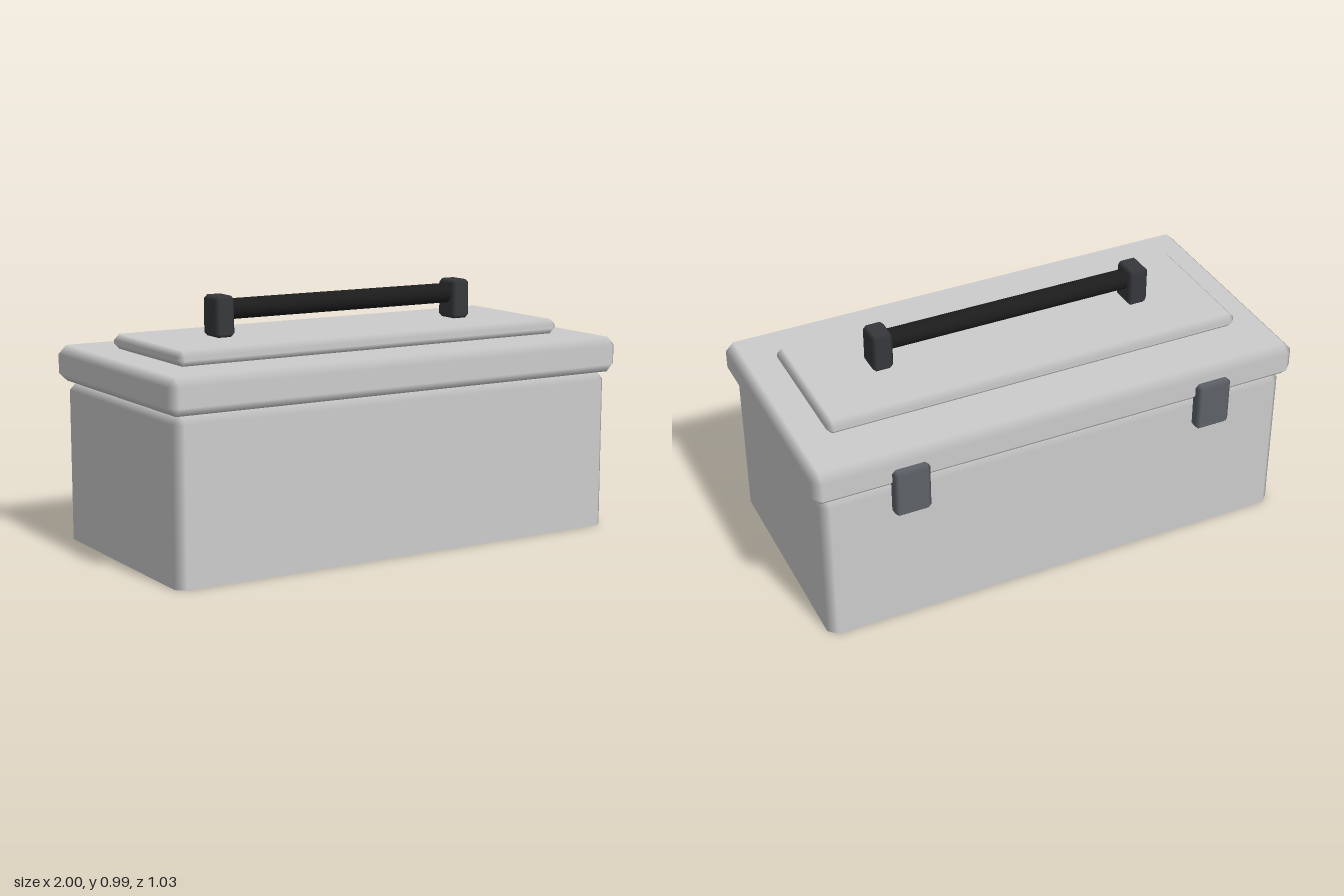
import * as THREE from 'three';
import { ConvexGeometry } from 'three/addons/geometries/ConvexGeometry.js';

// Box with 45 degree chamfers whose shading blends from face to face.
// With openBottom the lower rim stays square and the bottom face is left out.
function chamferBox(w, h, d, c, openBottom = false) {
  const half = [w / 2, h / 2, d / 2];
  const points = [];
  for (const sx of [-1, 1]) for (const sy of [-1, 1]) for (const sz of [-1, 1]) {
    const sign = [sx, sy, sz];
    const open = openBottom && sy < 0;
    for (let axis = 0; axis < 3; axis++) {
      if (open && axis === 1) continue;
      const p = half.map((v, i) => sign[i] * (i === axis || (open && i === 1) ? v : v - c));
      points.push(new THREE.Vector3(...p));
    }
  }
  const src = new ConvexGeometry(points).getAttribute('position');
  const positions = [], normals = [];
  for (let t = 0; t < src.count; t += 3) {
    const tri = [0, 1, 2].map(k => new THREE.Vector3().fromBufferAttribute(src, t + k));
    if (openBottom && tri.every(v => v.y < -half[1] + 1e-4)) continue;
    for (const v of tri) {
      // each corner point belongs to exactly one main face
      const a = v.toArray();
      const on = i => Math.abs(Math.abs(a[i]) - half[i]) < 1e-4;
      const axis = on(0) ? 0 : on(2) ? 2 : 1;
      const n = [0, 0, 0];
      n[axis] = Math.sign(a[axis]);
      positions.push(...a);
      normals.push(...n);
    }
  }
  const geo = new THREE.BufferGeometry();
  geo.setAttribute('position', new THREE.Float32BufferAttribute(positions, 3));
  geo.setAttribute('normal', new THREE.Float32BufferAttribute(normals, 3));
  return geo;
}

export function createModel() {
  const group = new THREE.Group();
  const grey = new THREE.MeshStandardMaterial({ color: 0xcccccc });
  const shell = new THREE.MeshStandardMaterial({ color: 0xcccccc, side: THREE.DoubleSide });
  const postMat = new THREE.MeshStandardMaterial({ color: 0x36383b });
  const barMat = new THREE.MeshStandardMaterial({ color: 0x1c1c1c });
  const claspMat = new THREE.MeshStandardMaterial({ color: 0x5e6268 });
  const midZ = 0.016;

  const add = (name, geo, mat, x, y, z) => {
    const mesh = new THREE.Mesh(geo, mat);
    mesh.name = name;
    mesh.position.set(x, y, z);
    group.add(mesh);
    return mesh;
  };

  // Hollow body, lid and raised panel
  add('body', chamferBox(1.936, 0.63, 0.942, 0.033, true), shell, 0, 0.315, midZ);
  add('lid', chamferBox(2, 0.14, 0.997, 0.033), grey, 0, 0.7, midZ);
  add('lidPanel', chamferBox(1.714, 0.058, 0.57, 0.022), grey, 0, 0.799, midZ);

  // Carrying handle
  const bar = add('handleBar', new THREE.CylinderGeometry(0.04, 0.04, 1.06, 16), barMat, 0, 0.93, midZ);
  bar.rotation.z = Math.PI / 2;

  // Handle posts and rear clasps, mirrored
  for (const [side, s] of [['left', 1], ['right', -1]]) {
    add(side + 'HandlePost', chamferBox(0.083, 0.157, 0.113, 0.014), postMat, s * 0.542, 0.907, midZ);
    add(side + 'Clasp', chamferBox(0.143, 0.2, 0.057, 0.014), claspMat, s * 0.629, 0.615, -0.4835);
  }
  return group;
}
